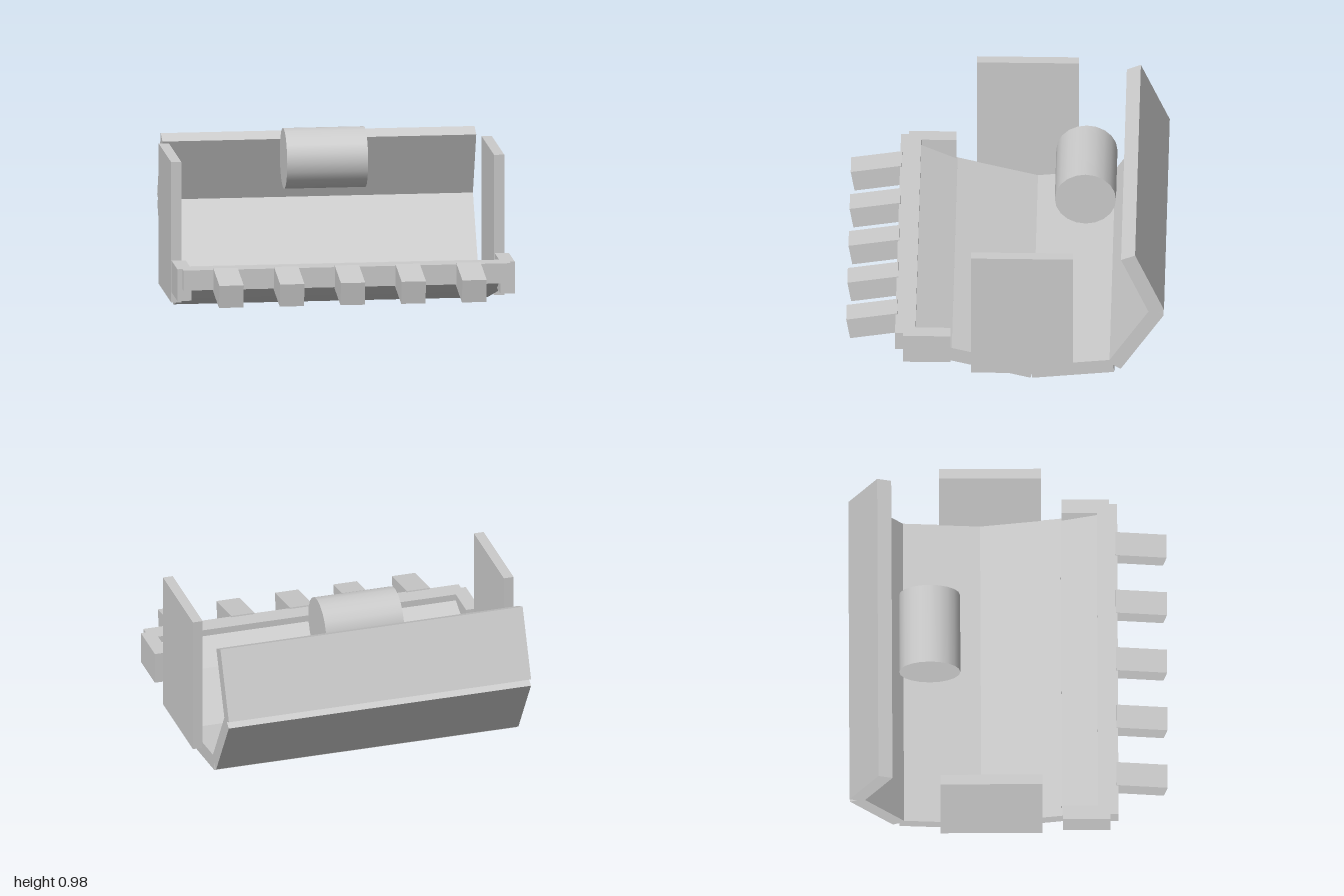
import * as THREE from 'three';

export function createModel() {
  const group = new THREE.Group();
  const material = new THREE.MeshStandardMaterial({ color: 0xcccccc });

  function add(name, geometry, x, y, z, tilt = 0) {
    const mesh = new THREE.Mesh(geometry, material);
    mesh.name = name;
    mesh.position.set(x, y, z);
    mesh.rotation.x = tilt;
    group.add(mesh);
    return mesh;
  }
  const box = (w, h, d) => new THREE.BoxGeometry(w, h, d);

  // Bucket shell: slabs laid inward from their outer edges, given as [z, y] pairs
  const thickness = 0.09;
  const shell = [
    ['backUpperPlate', [-0.765, 0.91], [-0.935, 0.512]],
    ['backLowerPlate', [-0.932, 0.469], [-0.68, 0.073]],
    ['floorBackPlate', [-0.642, 0.05], [-0.16, 0]],
    ['floorFrontPlate', [-0.15, 0], [0.336, 0.126]],
    ['lipPlate', [0.34, 0.126], [0.58, 0.237]],
  ];
  for (const [name, a, b] of shell) {
    const dz = b[0] - a[0], dy = b[1] - a[1];
    const length = Math.hypot(dz, dy);
    const k = thickness / 2 / length;
    add(name, box(1.86, thickness, length), 0,
      (a[1] + b[1]) / 2 + dz * k, (a[0] + b[0]) / 2 - dy * k, -Math.atan2(dy, dz));
  }

  // Side walls and corner guards
  for (const [side, s] of [['left', 1], ['right', -1]]) {
    add(side + 'SideWall', box(0.06, 0.84, 0.6), s * 0.957, 0.497, -0.1);
    add(side + 'CornerGuard', box(0.084, 0.19, 0.28), s * 0.958, 0.256, 0.46);
  }

  // Cutting edge with its row of teeth
  add('cuttingEdge', box(1.94, 0.12, 0.12), 0, 0.291, 0.587);
  for (let i = -2; i <= 2; i++) {
    add('tooth', box(0.144, 0.138, 0.304), i * 0.36, 0.266, 0.776, 0.165);
  }

  // Mounting drum
  const drum = add('mountingDrum', new THREE.CylinderGeometry(0.18, 0.18, 0.48, 20), 0, 0.8, -0.46);
  drum.rotation.z = Math.PI / 2;

  return group;
}
